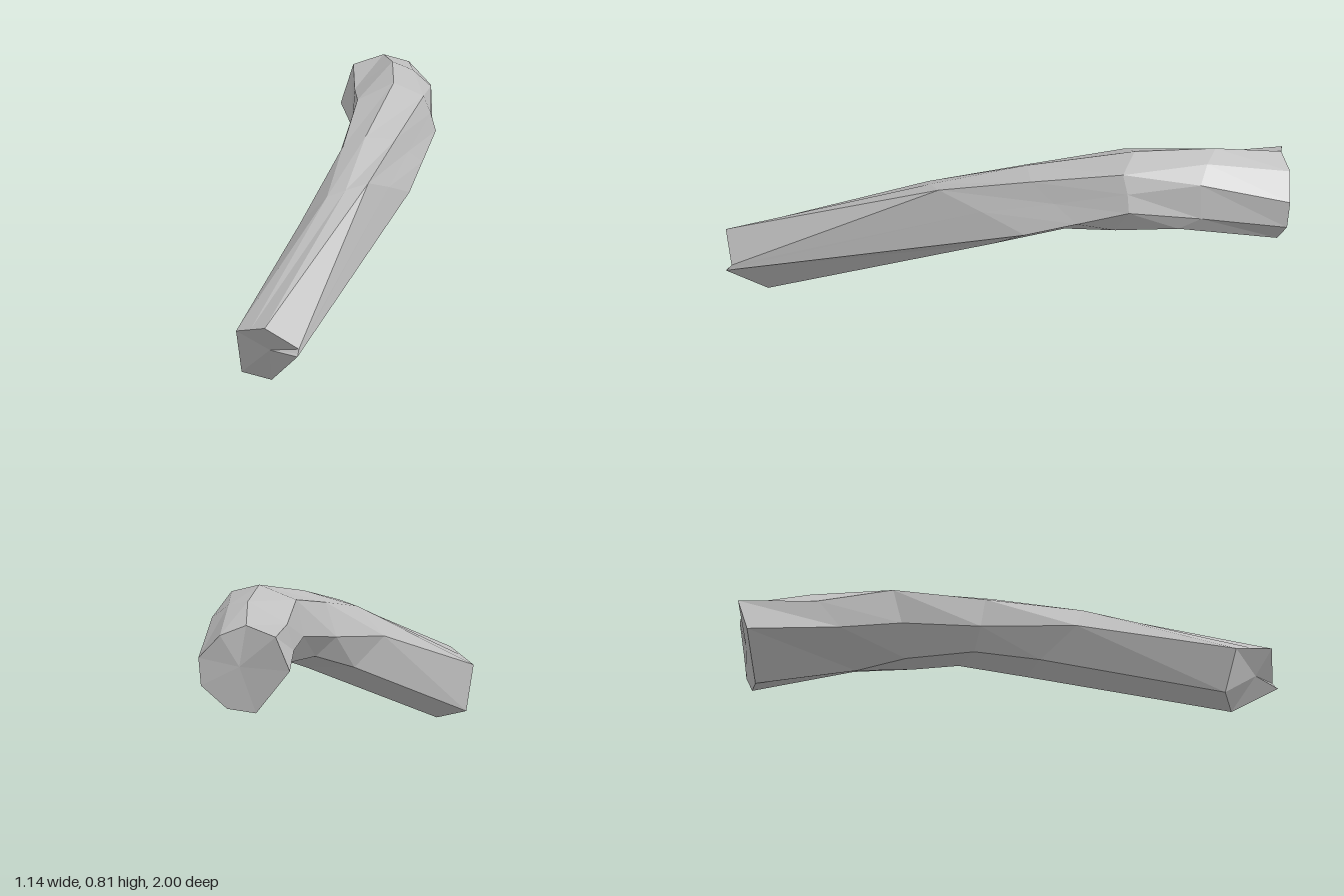
import * as THREE from 'three';

// Cross-sections from the front end to the back end, eight corners each,
// clockwise from the left side as seen from the front.
const sections = [
  // front end
  [[-0.57, 0.2, 0.83], [-0.53, 0.22, 0.9], [-0.49, 0.24, 0.97], [-0.36, 0.155, 0.98],
    [-0.365, 0.14, 0.99], [-0.37, 0.13, 1.0], [-0.43, 0, 0.82], [-0.54, 0.03, 0.79]],
  // middle
  [[-0.2, 0.45, 0.25], [-0.1, 0.56, 0.28], [-0.03, 0.585, 0.29], [0.06, 0.605, 0.28],
    [0.17, 0.55, 0.14], [0.28, 0.49, 0], [0.1, 0.37, 0.08], [-0.08, 0.36, 0.12]],
  // start of the bend
  [[0, 0.53, -0.1], [0.04, 0.66, -0.08], [0.12, 0.7, -0.05], [0.235, 0.69, -0.035],
    [0.3, 0.62, -0.11], [0.37, 0.56, -0.18], [0.22, 0.465, -0.17], [0.08, 0.46, -0.12]],
  // bend
  [[0.14, 0.6, -0.39], [0.17, 0.75, -0.42], [0.31, 0.81, -0.42], [0.41, 0.77, -0.35],
    [0.44, 0.7, -0.36], [0.46, 0.63, -0.36], [0.37, 0.515, -0.33], [0.22, 0.49, -0.37]],
  // behind the bend
  [[0.19, 0.6, -0.62], [0.22, 0.72, -0.7], [0.37, 0.815, -0.72], [0.44, 0.79, -0.67],
    [0.5, 0.735, -0.63], [0.505, 0.595, -0.63], [0.47, 0.545, -0.55], [0.33, 0.485, -0.55]],
  // back end
  [[0.225, 0.6, -0.97], [0.28, 0.74, -1], [0.39, 0.78, -0.97], [0.49, 0.745, -0.98],
    [0.57, 0.655, -0.96], [0.56, 0.545, -0.95], [0.46, 0.45, -0.935], [0.35, 0.43, -0.93]],
];

const centre = (ring) => [0, 1, 2].map((i) => ring.reduce((s, p) => s + p[i], 0) / ring.length);

function geometryFrom(triangles) {
  const geometry = new THREE.BufferGeometry();
  geometry.setAttribute('position', new THREE.Float32BufferAttribute(triangles.flat(2), 3));
  geometry.computeVertexNormals();
  return geometry;
}

// Skin between neighbouring cross-sections
function loft(rings) {
  const triangles = [];
  for (let r = 0; r < rings.length - 1; r++) {
    const n = rings[r].length;
    for (let k = 0; k < n; k++) {
      const a = rings[r][k], b = rings[r][(k + 1) % n];
      const c = rings[r + 1][(k + 1) % n], d = rings[r + 1][k];
      triangles.push([a, b, c], [a, c, d]);
    }
  }
  return geometryFrom(triangles);
}

// Closed end
function cap(ring, facesFront) {
  const mid = centre(ring);
  return geometryFrom(ring.map((p, k) => {
    const q = ring[(k + 1) % ring.length];
    return facesFront ? [mid, q, p] : [mid, p, q];
  }));
}

export function createModel() {
  const group = new THREE.Group();
  group.name = 'bentTube';
  const grey = new THREE.MeshStandardMaterial({ color: 0xc0c0c0, flatShading: true });
  grey.name = 'light grey';

  const add = (name, geometry) => {
    const mesh = new THREE.Mesh(geometry, grey);
    mesh.name = name;
    group.add(mesh);
  };
  add('tubeBody', loft(sections));
  add('frontEnd', cap(sections[0], true));
  add('backEnd', cap(sections[sections.length - 1], false));
  return group;
}
